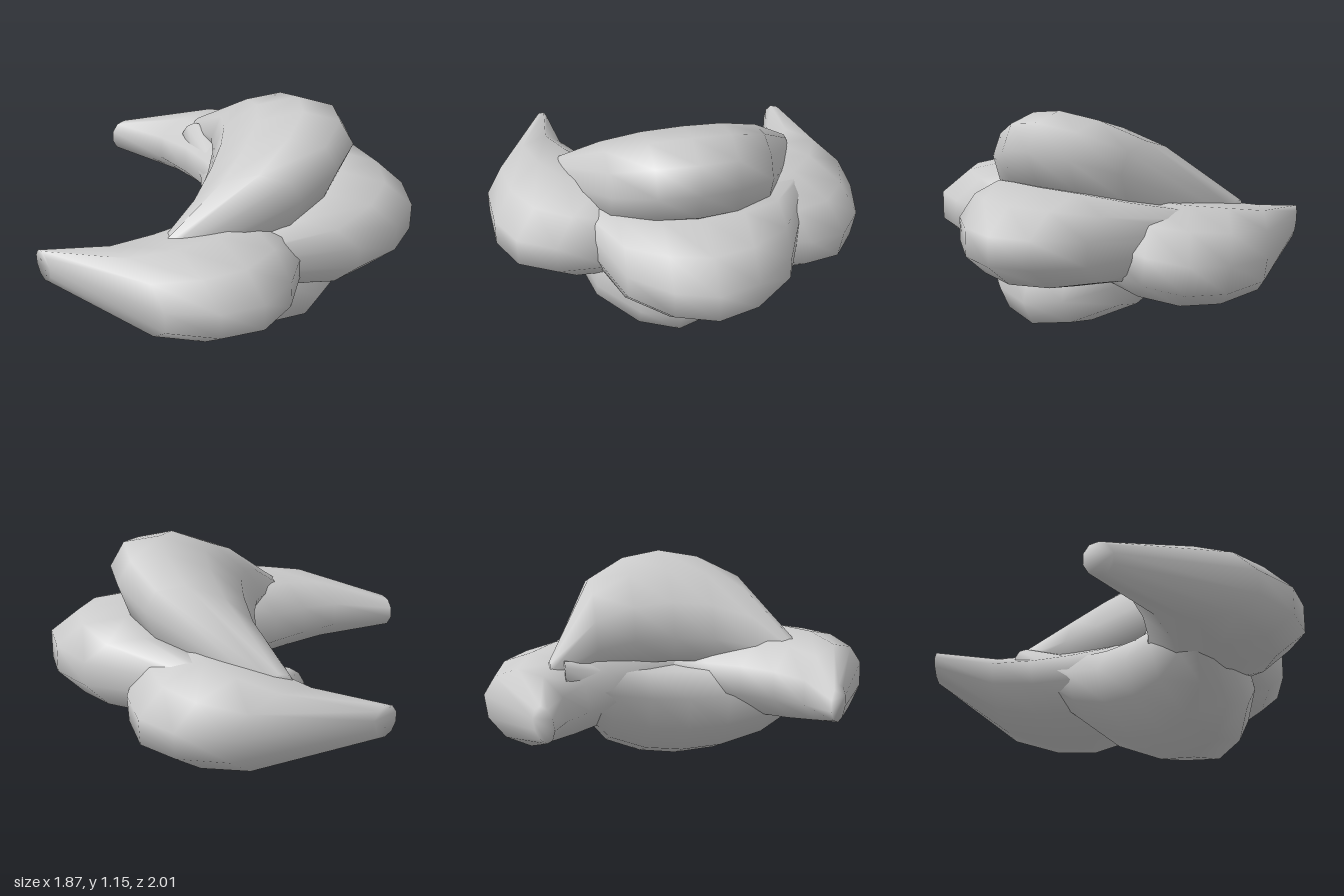
import * as THREE from 'three';

const SIDES = 10;
const rad = THREE.MathUtils.degToRad;

// Half of the symmetric crescent: [distance along, bend offset, half width, half thickness]
const HALF = [
  [0, 0, 0.415, 0.247],
  [0.21, -0.04, 0.388, 0.238],
  [0.415, -0.155, 0.322, 0.202],
  [0.675, -0.59, 0.075, 0.092],
];
const SECTIONS = [
  ...HALF.slice(1).reverse().map(([l, ...rest]) => [-l, ...rest]),
  ...HALF,
];

// Ten-sided tapered crescent, smooth all over, closed at both tips
function crescentGeometry() {
  const positions = [];
  const indices = [];
  for (const [l, c, a, b] of SECTIONS) {
    for (let j = 0; j < SIDES; j++) {
      const t = ((j + 0.5) / SIDES) * Math.PI * 2;
      positions.push(c + a * Math.cos(t), b * Math.sin(t), l);
    }
  }

  const last = (SECTIONS.length - 1) * SIDES;
  for (let p = 0; p < last; p += SIDES) {
    const q = p + SIDES;
    for (let j = 0; j < SIDES; j++) {
      const k = (j + 1) % SIDES;
      indices.push(p + j, p + k, q + k, p + j, q + k, q + j);
    }
  }

  // Tip caps
  for (let j = 1; j < SIDES - 1; j++) {
    indices.push(0, j + 1, j);
    indices.push(last, last + j, last + j + 1);
  }

  const geometry = new THREE.BufferGeometry();
  geometry.setAttribute('position', new THREE.Float32BufferAttribute(positions, 3));
  geometry.setIndex(indices);
  geometry.computeVertexNormals();
  return geometry;
}

export function createModel() {
  const group = new THREE.Group();
  group.name = 'crescentPile';
  const geometry = crescentGeometry();
  const material = new THREE.MeshStandardMaterial({ color: 0xcccccc });

  // Position of each crescent's middle, then pitch, yaw and tilt in degrees
  const pieces = [
    { name: 'frontCrescent', at: [0.003, 0.527, 0.598], yaw: -45 },
    { name: 'backCrescent', at: [0.06, 0.46, -0.587], yaw: 38, tilt: -7, pitch: -6 },
    { name: 'middleCrescent', at: [0.535, 0.555, -0.05] },
    { name: 'topCrescent', at: [0.22, 0.868, -0.018], yaw: 1, tilt: 29 },
    { name: 'bottomCrescent', at: [0.165, 0.302, 0.065], tilt: -29 },
  ];
  for (const { name, at, yaw = 0, tilt = 0, pitch = 0 } of pieces) {
    const crescent = new THREE.Mesh(geometry, material);
    crescent.name = name;
    crescent.position.set(...at);
    crescent.rotation.set(rad(pitch), rad(yaw), rad(tilt), 'YZX');
    group.add(crescent);
  }
  return group;
}
